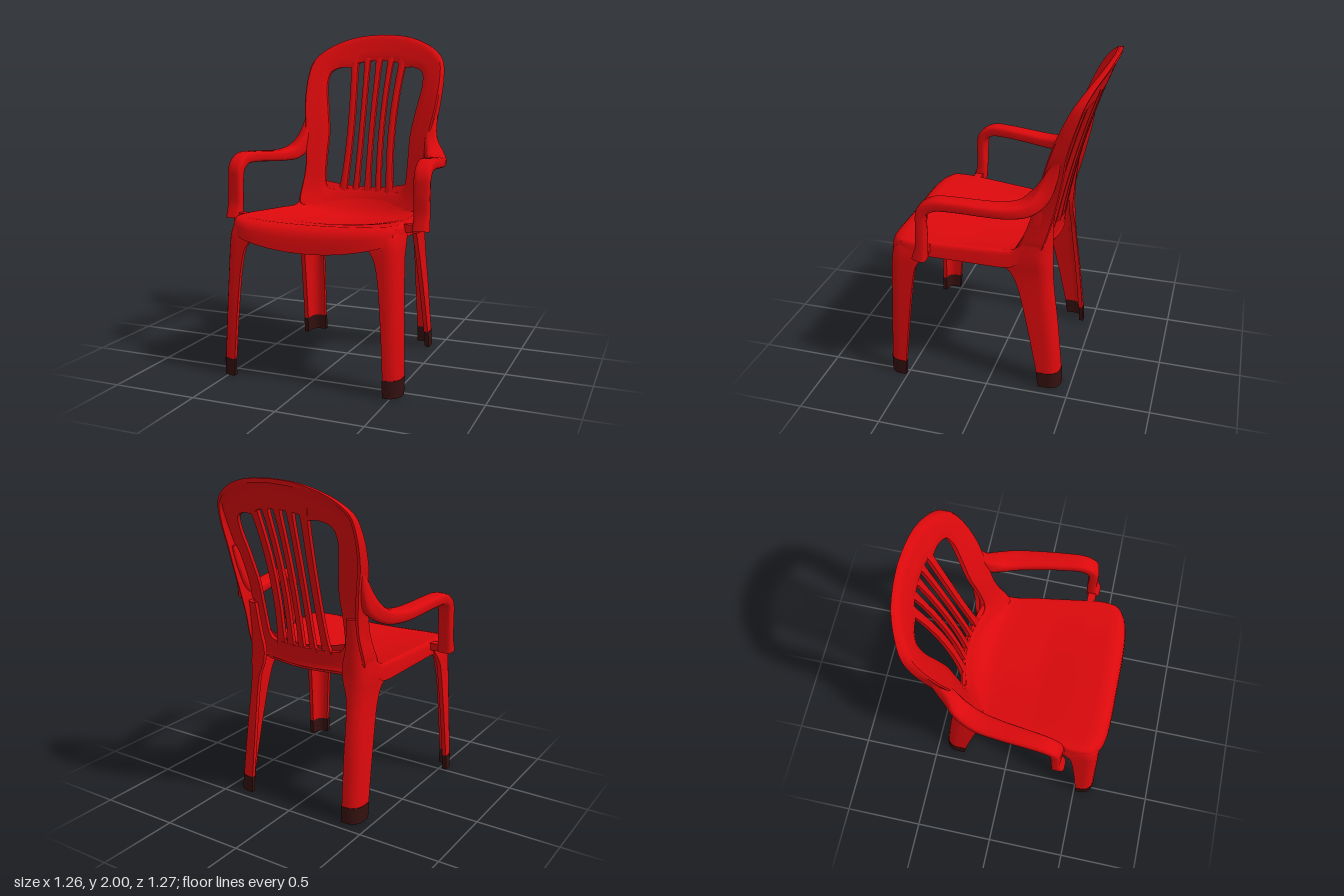
import * as THREE from 'three';
import { toCreasedNormals } from 'three/addons/utils/BufferGeometryUtils.js';

const red = new THREE.MeshStandardMaterial({ color: 0xdb090c, side: THREE.DoubleSide });
red.name = 'red plastic';
const dark = new THREE.MeshStandardMaterial({ color: 0x33100f, side: THREE.DoubleSide });
dark.name = 'dark foot';

const V = (x, y, z) => new THREE.Vector3(x, y, z);
const clamp = THREE.MathUtils.clamp;

// Skin a list of cross-sections (each an equal-length list of points).
function loft(name, rows, closed, material = red, crease = 0.8) {
  const n = rows[0].length, pos = [], idx = [];
  rows.forEach(r => r.forEach(p => pos.push(p.x, p.y, p.z)));
  for (let i = 0; i < rows.length - 1; i++) {
    for (let j = 0; j < (closed ? n : n - 1); j++) {
      const a = i * n + j, b = i * n + (j + 1) % n, c = a + n, d = b + n;
      idx.push(a, b, c, b, d, c);
    }
  }
  const geo = new THREE.BufferGeometry();
  geo.setAttribute('position', new THREE.Float32BufferAttribute(pos, 3));
  geo.setIndex(idx);
  const mesh = new THREE.Mesh(toCreasedNormals(geo, crease), material);
  mesh.name = name;
  return mesh;
}

// Sample a smooth curve through points at equal parameter steps.
function smooth(points, steps) {
  const curve = new THREE.CatmullRomCurve3(points);
  return Array.from({ length: steps + 1 }, (_, i) => curve.getPoint(i / steps));
}

// Front surface of the reclined, wrapped backrest.
function backZ(x, y) {
  const h = y - 0.9;
  return -0.31 - 0.13 * h - 0.125 * h * h + (0.83 - 0.52 * h) * x * x;
}

// Ring around the backrest opening, with a flange turned backwards.
function backFrame() {
  // inner x, inner y, outer x, outer y, flange depth: bottom centre to top centre
  const half = [
    [0, 1.0, 0, 0.86, 0.03], [0.13, 1.0, 0.15, 0.86, 0.03], [0.24, 1.0, 0.32, 0.86, 0.05],
    [0.27, 1.04, 0.4, 0.92, 0.12], [0.28, 1.2, 0.4, 1.16, 0.13], [0.28, 1.36, 0.43, 1.4, 0.12],
    [0.305, 1.52, 0.452, 1.54, 0.1], [0.33, 1.68, 0.46, 1.72, 0.08], [0.315, 1.755, 0.44, 1.83, 0.06],
    [0.25, 1.785, 0.36, 1.91, 0.045], [0.18, 1.785, 0.25, 1.963, 0.04],
    [0.13, 1.815, 0.14, 1.99, 0.035], [0, 1.83, 0, 2.0, 0.035],
  ];
  const inner = smooth(half.map(r => V(r[0], r[1], 0)), 60);
  const outer = smooth(half.map(r => V(r[2], r[3], r[4])), 60);
  const section = (a, b, sx) => {
    // the front face sweeps forward near the seat, most at the sides
    const at = (t, dz, front) => {
      const x = a.x + (b.x - a.x) * t, y = a.y + (b.y - a.y) * t;
      const sweep = front ? (1.1 + 5 * x * x) * Math.max(0, 1.07 - y) ** 2 : 0;
      return V(sx * x, y, backZ(x, y) + dz + sweep);
    };
    const ts = [0.2, 0.4, 0.6, 0.8];
    return [at(0, -0.01, true), ...ts.map(t => at(t, 0, true)), at(0.94, -0.003, true), at(1, -0.015, true),
      at(1, -b.z), at(0.9, -b.z), at(0.86, -0.04),
      ...ts.slice().reverse().map(t => at(t, -0.035)), at(0, -0.035)];
  };
  const rows = inner.map((a, i) => section(a, outer[i], 1));
  const other = inner.map((a, i) => section(a, outer[i], -1)).reverse();
  return loft('backFrame', [...rows, ...other.slice(1)], true);
}

// Thin vertical slat, bowed towards the centre at mid height.
function slat(cx) {
  const rows = [];
  for (let i = 0; i <= 24; i++) {
    const t = i / 24, y = 0.98 + 0.87 * t, e = Math.abs(2 * t - 1);
    const c = cx * (0.83 + 0.15 * e * e + 0.06 * t);
    const w = (Math.abs(cx) > 0.1 ? 0.021 : 0.016) * (1 + 0.5 * e ** 8);
    rows.push([[-w, -0.006], [-w * 0.5, 0], [w * 0.5, 0], [w, -0.006], [w, -0.033], [-w, -0.033]]
      .map(([dx, dz]) => V(c + dx, y, backZ(c, y) + dz)));
  }
  return loft('backSlat', rows, true);
}

// Dished seat sheet with a drooping front lip and side skirts.
function seat() {
  const rows = [];
  const stations = [];
  for (let i = 0; i <= 24; i++) stations.push([-0.34 + 0.88 * i / 24, 0]);
  stations.push([0.57, 0.008], [0.595, 0.02], [0.613, 0.04], [0.622, 0.07], [0.628, 0.11], [0.632, 0.148]);
  const across = [];
  for (let j = -12; j <= 12; j++) across.push(j / 12 * 0.96);
  for (const [z, drop] of stations) {
    const w = 0.441 + 0.13 * Math.min(z, 0.45) - 1.2 * Math.max(0, z - 0.5) ** 2;
    const back = clamp((0.35 - z) / 0.45, 0, 1);
    const point = (s, extra, dy) => {
      const x = s * w + Math.sign(s) * extra;
      const bowl = (1 - s * s) * (0.02 + 0.05 * clamp((0.55 - z) / 0.4, 0, 1));
      const rise = 6 * Math.max(0, -0.17 - z) ** 2;
      const y = 0.932 - 0.018 * back - bowl + rise - Math.max(drop * (1 - 0.35 * s * s), dy);
      const corner = (0.045 * s ** 4 + 0.03 * s ** 14) * clamp(z / 0.6, 0, 1) ** 2;
      return V(x, y, z + 0.6 * x * x * clamp(-z / 0.34, 0, 1) - corner);
    };
    const skirt = 0.09 + 0.022 * back;
    const side = [[0.985, 0, 0.004], [1, 0, 0.014], [1, 0.004, 0.03], [1, 0.006, skirt]];
    rows.push([
      ...side.slice().reverse().map(([s, e, d]) => point(-s, e, d)),
      ...across.map(s => point(s, 0, 0)),
      ...side.map(([s, e, d]) => point(s, e, d)),
    ]);
  }
  return loft('seat', rows, false, red, 1.0);
}

// Leg with a rounded-corner angle section: each row is y, corner x, corner z, end x, end z.
function leg(name, table, sx, material, steps, grow = 0) {
  const corner = smooth(table.map(r => V(r[1], r[0], r[2])), steps);
  const ends = smooth(table.map(r => V(r[3], r[0], r[4])), steps);
  const rows = corner.map((c, i) => {
    const e = ends[i], dz = Math.sign(c.z - e.z), t = 0.027;
    const cx = c.x + grow, cz = c.z + dz * grow, ex = e.x - grow, ez = e.z - dz * grow;
    const r = Math.min(0.072, 0.85 * (cx - ex), 0.85 * Math.abs(cz - ez));
    const wall = inset => {
      const pts = [[ex, cz - dz * inset]];
      for (let k = 0; k <= 6; k++) {
        const a = k / 6 * Math.PI / 2;
        pts.push([cx - r + (r - inset) * Math.sin(a), cz - dz * (r - (r - inset) * Math.cos(a))]);
      }
      return [...pts, [cx - inset, ez]];
    };
    return [...wall(0), ...wall(t).reverse()].map(([x, z]) => V(sx * x, c.y, z));
  });
  // close both ends by folding outer and inner walls together
  const fold = r => r.map((p, j) => p.clone().lerp(r[r.length - 1 - j], 0.5));
  return loft(name, [fold(rows[0]), ...rows, fold(rows[rows.length - 1])], true, material);
}

// Armrest: front post bending into a rail that widens, then sweeps up the back's edge.
function arm(sx) {
  const path = [[0.585, 0.885, 0.36], [0.585, 0.98, 0.345], [0.584, 1.1, 0.343], [0.582, 1.19, 0.33],
    [0.578, 1.235, 0.27], [0.565, 1.24, 0.15], [0.547, 1.23, 0], [0.521, 1.224, -0.14],
    [0.481, 1.238, -0.24], [0.438, 1.3, -0.31], [0.424, 1.42, -0.365], [0.432, 1.56, -0.415]].map(p => V(...p));
  const size = [[0.046, 0.042], [0.045, 0.03], [0.046, 0.03], [0.047, 0.034], [0.048, 0.035], [0.051, 0.034],
    [0.055, 0.034], [0.06, 0.036], [0.058, 0.044], [0.045, 0.05], [0.028, 0.036], [0.01, 0.012]]
    .map(([a, b]) => V(a, b, 0));
  const steps = 55, curve = new THREE.CatmullRomCurve3(path), sizes = smooth(size, steps);
  const rows = sizes.map((s, i) => {
    const p = curve.getPoint(i / steps), t = curve.getTangent(i / steps);
    const w = V(-Math.min(t.z, -0.1), 0, t.x).normalize();
    const n = new THREE.Vector3().crossVectors(w, t).normalize();
    const ring = [];
    for (let k = 0; k < 16; k++) {
      const a = (k + 0.5) / 16 * Math.PI * 2, c = Math.cos(a), d = Math.sin(a);
      const q = p.clone().addScaledVector(w, s.x * Math.sign(c) * Math.abs(c) ** 0.5)
        .addScaledVector(n, s.y * Math.sign(d) * Math.abs(d) ** 0.5);
      ring.push(V(sx * q.x, q.y, q.z));
    }
    return ring;
  });
  const cap = (r, c) => r.map(() => V(sx * c.x, c.y, c.z));
  return loft('armrest', [cap(rows[0], path[0]), ...rows, cap(rows[steps], path[path.length - 1])], true);
}

export function createModel() {
  const chair = new THREE.Group();
  chair.name = 'chair';
  chair.add(seat(), backFrame());
  for (const x of [-0.165, -0.08, 0, 0.08, 0.165]) chair.add(slat(x));

  const frontFoot = [[0, 0.545, 0.618, 0.458, 0.513], [0.1, 0.545, 0.618, 0.456, 0.505]];
  const frontLeg = [[0.1, 0.545, 0.618, 0.456, 0.505], [0.4, 0.533, 0.607, 0.438, 0.475],
    [0.65, 0.522, 0.597, 0.415, 0.445], [0.76, 0.517, 0.592, 0.39, 0.425],
    [0.82, 0.513, 0.587, 0.345, 0.39], [0.865, 0.506, 0.577, 0.28, 0.36], [0.912, 0.494, 0.555, 0.28, 0.36]];
  const rearFoot = [[0, 0.438, -0.438, 0.333, -0.312], [0.1, 0.436, -0.432, 0.332, -0.297]];
  const rearLeg = [[0.1, 0.436, -0.432, 0.332, -0.297], [0.4, 0.422, -0.402, 0.325, -0.235],
    [0.68, 0.408, -0.368, 0.32, -0.165], [0.77, 0.408, -0.36, 0.31, -0.12], [0.83, 0.412, -0.354, 0.29, -0.04],
    [0.88, 0.412, -0.35, 0.28, -0.11], [0.94, 0.408, -0.35, 0.28, -0.195], [1.03, 0.403, -0.353, 0.3, -0.24],
    [1.22, 0.402, -0.372, 0.32, -0.275]];

  for (const sx of [1, -1]) {
    chair.add(
      leg('frontLeg', frontLeg, sx, red, 30), leg('frontFoot', frontFoot, sx, dark, 2, 0.002),
      leg('rearLeg', rearLeg, sx, red, 40), leg('rearFoot', rearFoot, sx, dark, 2, 0.002),
      arm(sx));
    // lug joining the arm post to the seat rim
    const lug = new THREE.Mesh(new THREE.BoxGeometry(0.1, 0.045, 0.05), red);
    lug.name = 'armLug';
    lug.position.set(sx * 0.525, 0.9, 0.357);
    chair.add(lug);
  }
  return chair;
}
